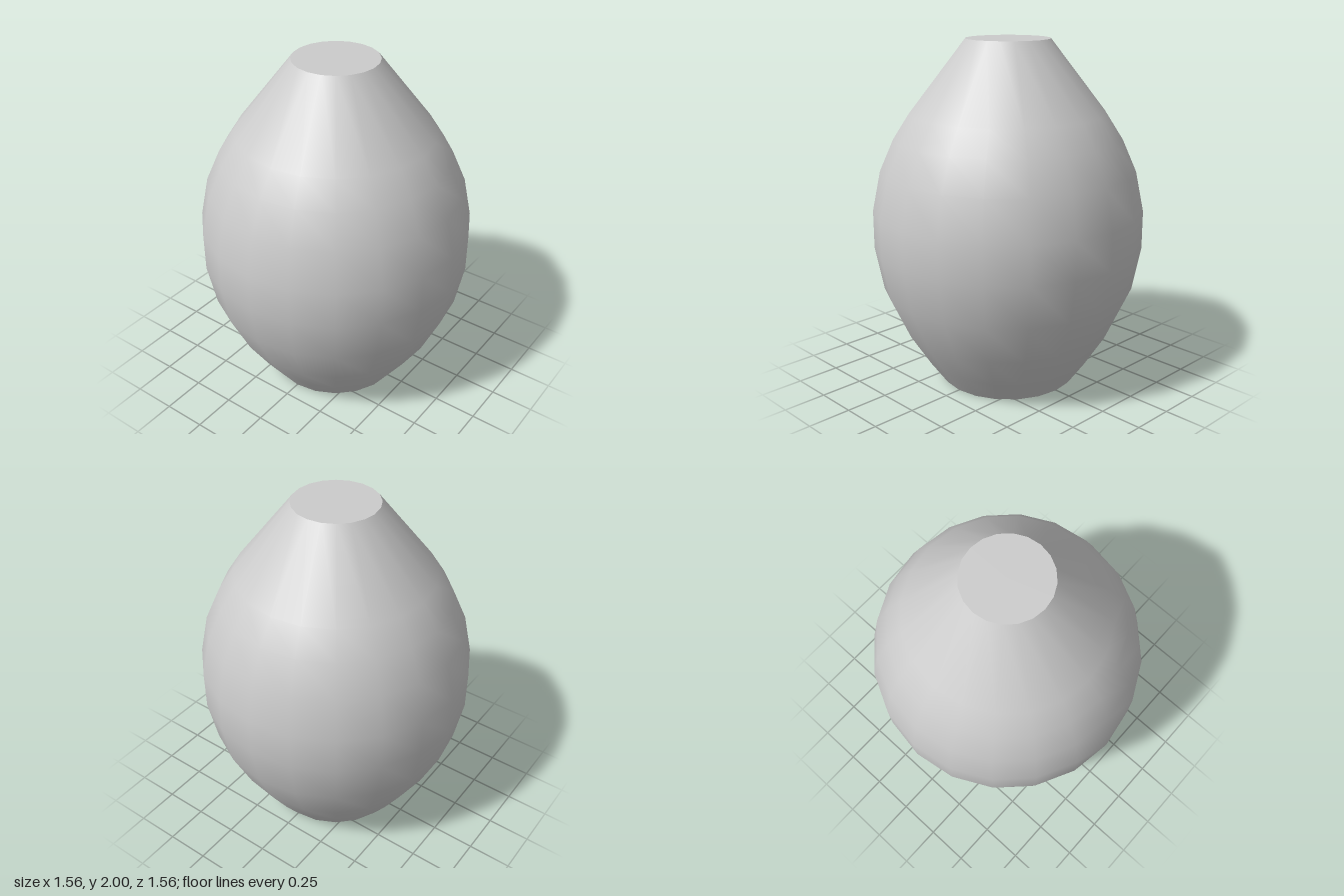
import * as THREE from 'three';

const SIDES = 20;

// Half profile from base to rim: [radius, height]
const PROFILE = [
  [0.4, 0], [0.5, 0.14], [0.62, 0.33], [0.73, 0.57], [0.778, 0.82],
  [0.778, 1.04], [0.73, 1.27], [0.65, 1.45], [0.56, 1.59], [0.24, 2],
];

export function createModel() {
  const group = new THREE.Group();
  group.name = 'vase';
  const material = new THREE.MeshStandardMaterial({ color: 0xcccccc });

  const add = (name, geometry) => {
    const mesh = new THREE.Mesh(geometry, material);
    mesh.name = name;
    group.add(mesh);
    return mesh;
  };

  // Smooth bulging wall
  const points = PROFILE.map(([r, y]) => new THREE.Vector2(r, y));
  add('body', new THREE.LatheGeometry(points, SIDES));

  // Flat discs closing both ends with a sharp edge
  const [baseRadius] = PROFILE[0];
  const [topRadius, topHeight] = PROFILE[PROFILE.length - 1];
  add('base', new THREE.CircleGeometry(baseRadius, SIDES).rotateX(Math.PI / 2));
  add('topCap', new THREE.CircleGeometry(topRadius, SIDES).rotateX(-Math.PI / 2))
    .position.y = topHeight;

  return group;
}
